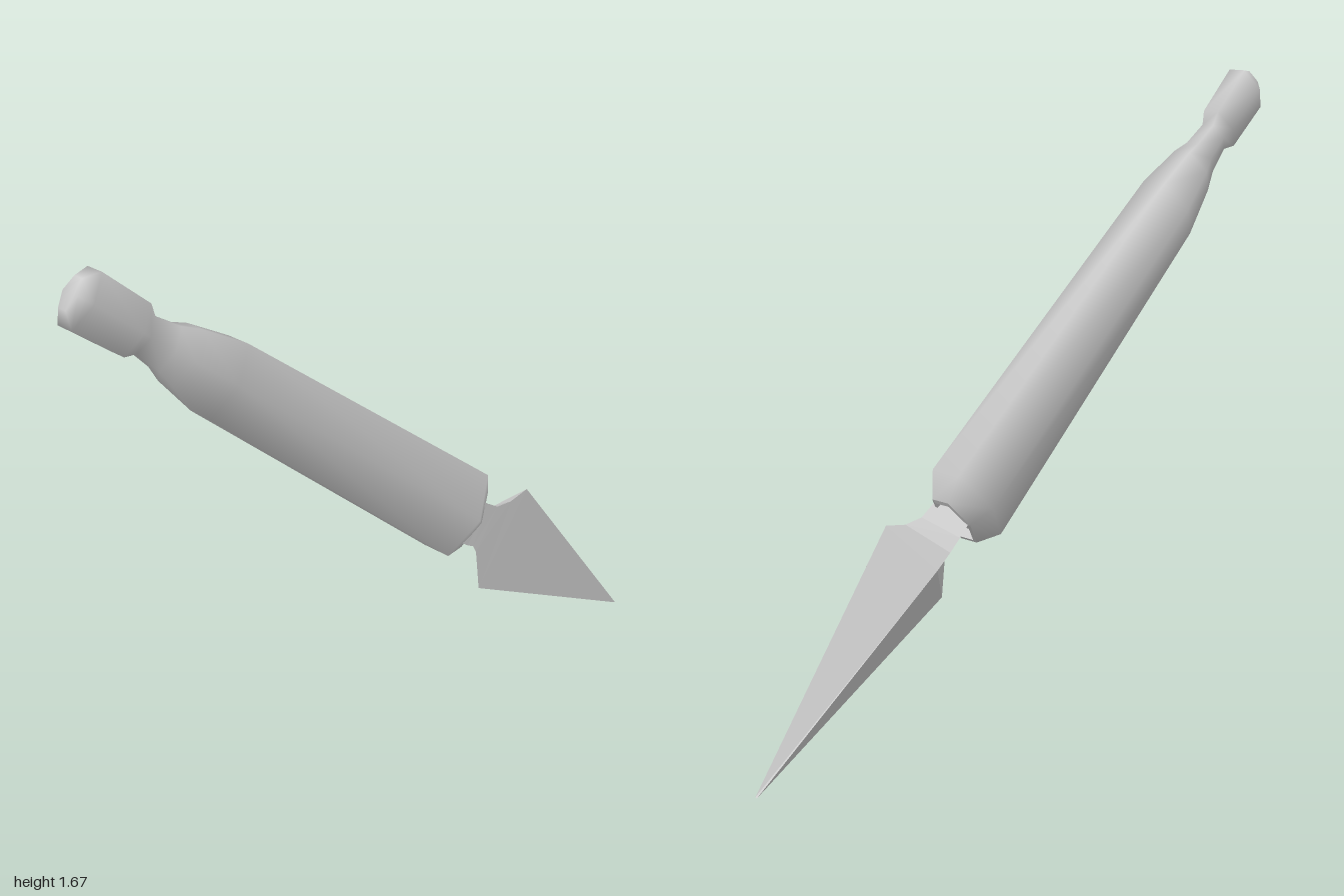
import * as THREE from 'three';

// Tool axis: d runs from the cap to the blade, n is across the flat of the tool
const d = new THREE.Vector3(0.775, -0.632, 0);
const n = new THREE.Vector3(0.632, 0.775, 0);
const AXIS_OFFSET = 0.644;

// Squashed hexagon at distance s along the axis: w = width, t = thickness
function hexRing([s, w, t]) {
  const zMid = -0.02 * THREE.MathUtils.clamp((-0.16 - s) / 1.09, 0, 1);
  return Array.from({ length: 6 }, (_, k) => {
    const a = Math.PI / 6 + (k * Math.PI) / 3;
    const across = AXIS_OFFSET + (Math.cos(a) / 0.866) * (w / 2);
    const p = d.clone().multiplyScalar(s).addScaledVector(n, across);
    p.z = zMid + Math.sin(a) * (t / 2);
    return p;
  });
}

// Skin over a list of equal rings, with optional end caps
function loft(rings, { start = false, end = false, flat = false } = {}) {
  const m = rings[0].length;
  const last = (rings.length - 1) * m;
  const index = [];
  for (let i = 0; i < rings.length - 1; i++) {
    for (let j = 0; j < m; j++) {
      const a = i * m + j, b = i * m + ((j + 1) % m);
      index.push(a, b, b + m, a, b + m, a + m);
    }
  }
  for (let j = 1; j < m - 1; j++) {
    if (start) index.push(0, j + 1, j);
    if (end) index.push(last, last + j, last + j + 1);
  }
  let geo = new THREE.BufferGeometry().setFromPoints(rings.flat());
  geo.setIndex(index);
  if (flat) geo = geo.toNonIndexed();
  geo.computeVertexNormals();
  return geo;
}

export function createModel() {
  const group = new THREE.Group();
  const add = (name, geo, flatShading = false) => {
    const mat = new THREE.MeshStandardMaterial({
      color: 0xcccccc, flatShading, side: THREE.DoubleSide,
    });
    const mesh = new THREE.Mesh(geo, mat);
    mesh.name = name;
    group.add(mesh);
  };

  // Handle: domed end cap, waist, then a long body that widens to the front
  const profile = [
    [-1.787, 0.08, 0.055],
    [-1.755, 0.148, 0.105],
    [-1.582, 0.138, 0.1],
    [-1.546, 0.096, 0.075],
    [-1.46, 0.118, 0.082],
    [-1.405, 0.154, 0.11],
    [-1.253, 0.206, 0.15],
    [-0.16, 0.26, 0.184],
    [-0.096, 0.176, 0.11],
  ];
  add('handle', loft(profile.map(hexRing), { start: true }));

  // Recessed front end of the handle
  const socket = [[-0.096, 0.176, 0.11], [-0.094, 0.15, 0.094], [-0.12, 0.14, 0.088]];
  add('socket', loft(socket.map(hexRing), { end: true, flat: true }), true);

  // Blade: flat front with a ridge along the back.
  // Each row: upper edge x y, lower edge x y, ridge x y z, front z
  const sections = [
    [0.335, 0.63, 0.25, 0.525, 0.305, 0.585, -0.04, 0.045],
    [0.37, 0.605, 0.285, 0.5, 0.34, 0.557, -0.05, 0.045],
    [0.41, 0.58, 0.308, 0.488, 0.37, 0.535, -0.053, 0.046],
    [0.47, 0.575, 0.32, 0.465, 0.41, 0.505, -0.055, 0.047],
    [0.54, 0.59, 0.335, 0.335, 0.46, 0.47, -0.056, 0.048],
    [1, 0.002, 0.998, 0, 1, 0, 0.055, 0.06],
  ];
  const rings = sections.map(([ux, uy, lx, ly, rx, ry, rz, z]) => [
    new THREE.Vector3(ux, uy, z),
    new THREE.Vector3(lx, ly, z),
    new THREE.Vector3(rx, ry, rz),
  ]);
  add('blade', loft(rings, { start: true, end: true, flat: true }), true);

  return group;
}
